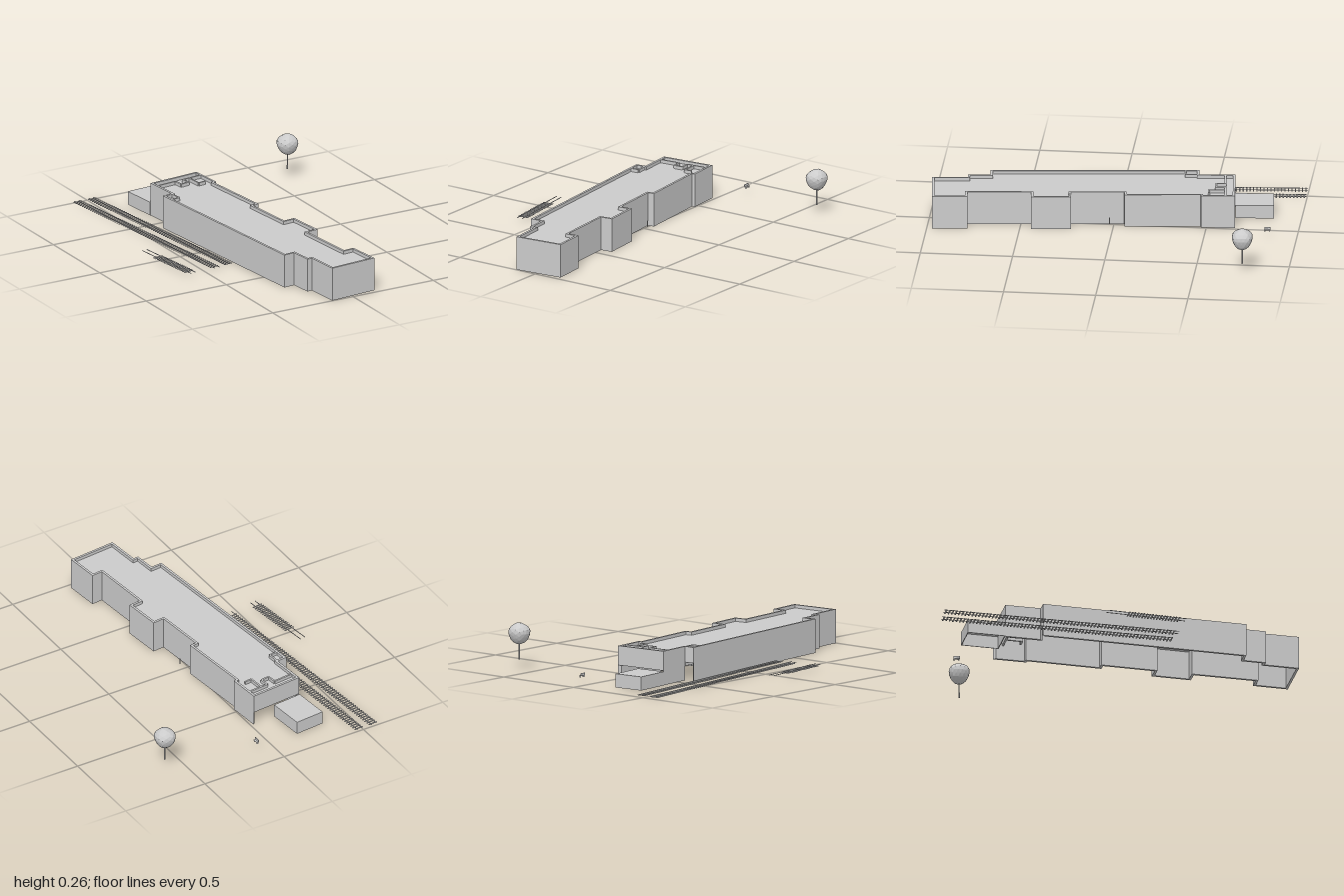
import * as THREE from 'three';

const grey = new THREE.MeshStandardMaterial({ color: 0xcccccc, side: THREE.DoubleSide, flatShading: true });

// Vertical prism over a plan polygon given as [x, z] points
function prism(points, y0, y1, name) {
  const shape = new THREE.Shape(points.map(([x, z]) => new THREE.Vector2(x, -z)));
  const geo = new THREE.ExtrudeGeometry(shape, { depth: y1 - y0, bevelEnabled: false });
  geo.rotateX(-Math.PI / 2).translate(0, y0, 0);
  const mesh = new THREE.Mesh(geo, grey);
  mesh.name = name;
  return mesh;
}

// Plan polygon moved inwards by t, with mitred corners
function inset(points, t) {
  const n = points.length;
  const normal = (i) => {
    const [ax, az] = points[(i + n) % n], [bx, bz] = points[(i + 1) % n];
    const l = Math.hypot(bx - ax, bz - az);
    return [-(bz - az) / l, (bx - ax) / l];
  };
  return points.map(([x, z], i) => {
    const a = normal(i - 1), b = normal(i);
    const k = t / (1 + a[0] * b[0] + a[1] * b[1]);
    return [x + (a[0] + b[0]) * k, z + (a[1] + b[1]) * k];
  });
}

// Closed walls around a plan; baseOf gives the lower edge of each wall
function walls(points, t, top, baseOf, name) {
  const group = new THREE.Group();
  group.name = name;
  const inner = inset(points, t);
  points.forEach((p, i) => {
    const j = (i + 1) % points.length;
    group.add(prism([p, points[j], inner[j], inner[i]], baseOf(i), top, name + 'Panel'));
  });
  return group;
}

// Box bar between two 3D points
function bar(a, b, width, height, name) {
  const from = new THREE.Vector3(...a), to = new THREE.Vector3(...b);
  const mesh = new THREE.Mesh(new THREE.BoxGeometry(width, height, from.distanceTo(to)), grey);
  mesh.position.copy(from).add(to).multiplyScalar(0.5);
  mesh.lookAt(to);
  mesh.name = name;
  return mesh;
}

// Railway track: sleepers spread from a to b, rails running past by 'extra'
function track(a, b, count, sleeperLength, gauge, extra, name) {
  const group = new THREE.Group();
  group.name = name;
  const from = new THREE.Vector3(...a), to = new THREE.Vector3(...b);
  const dir = to.clone().sub(from).normalize();
  const side = new THREE.Vector3(dir.z, 0, -dir.x).normalize();
  for (let i = 0; i < count; i++) {
    const p = from.clone().lerp(to, i / (count - 1));
    const s = side.clone().multiplyScalar(sleeperLength / 2);
    group.add(bar(p.clone().sub(s).toArray(), p.clone().add(s).toArray(), 0.007, 0.003, 'sleeper'));
  }
  for (const k of [-1, 1]) {
    const shift = side.clone().multiplyScalar(k * gauge / 2).add(new THREE.Vector3(0, 0.003, 0));
    const p = from.clone().addScaledVector(dir, -extra[0]).add(shift);
    const q = to.clone().addScaledVector(dir, extra[1]).add(shift);
    group.add(bar(p.toArray(), q.toArray(), 0.003, 0.003, 'rail'));
  }
  return group;
}

function tree() {
  const group = new THREE.Group();
  group.name = 'tree';
  const geo = new THREE.IcosahedronGeometry(0.058, 2);
  const pos = geo.attributes.position, v = new THREE.Vector3();
  for (let i = 0; i < pos.count; i++) {
    v.fromBufferAttribute(pos, i);
    v.multiplyScalar(1 + 0.05 * Math.sin(v.x * 70 + 1) * Math.cos(v.z * 60) + 0.04 * Math.sin(v.y * 80));
    pos.setXYZ(i, v.x, v.y, v.z);
  }
  geo.computeVertexNormals();
  const crown = new THREE.Mesh(geo, grey);
  crown.name = 'crown';
  crown.position.y = 0.198;
  const trunk = new THREE.Mesh(new THREE.CylinderGeometry(0.003, 0.004, 0.11, 8), grey);
  trunk.name = 'trunk';
  trunk.position.y = 0.108;
  group.add(crown, trunk);
  group.position.set(0.605, 0, -0.755);
  return group;
}

function bench() {
  const group = new THREE.Group();
  group.name = 'bench';
  const box = (w, h, d, x, y, z, name) => {
    const m = new THREE.Mesh(new THREE.BoxGeometry(w, h, d), grey);
    m.position.set(x, y, z);
    m.name = name;
    group.add(m);
  };
  box(0.012, 0.003, 0.034, 0, 0, 0, 'benchSeat');
  box(0.003, 0.012, 0.034, -0.006, 0.008, 0, 'benchBack');
  for (const z of [-0.013, 0.013]) box(0.01, 0.009, 0.003, 0, -0.005, z, 'benchLeg');
  group.position.set(0.08, 0.036, -0.84);
  return group;
}

export function createModel() {
  const model = new THREE.Group();
  model.name = 'stationBuilding';
  const top = 0.186, t = 0.013;

  // Main hall plan, from the back wall along the left side to the front and back again
  const plan = [
    [-0.32, -0.628], [-0.018, -0.655], [-0.002, -0.472], [-0.018, -0.468], [0.024, -0.06],
    [-0.012, -0.055], [0.016, 0.23], [0.082, 0.223], [0.104, 0.438], [0.037, 0.446],
    [0.068, 0.786], [0.13, 0.78], [0.149, 0.972], [-0.127, 0.997], [-0.145, 0.806],
    [-0.174, 0.809], [-0.186, 0.687], [-0.25, 0.693], [-0.36, -0.428], [-0.303, -0.434],
  ];
  // Back wall hangs over an open bay; the step on the right side holds a doorway
  const bases = { 0: 0.08, 18: 0.1 };
  model.add(walls(plan, t, top, (i) => bases[i] ?? 0, 'hallWalls'));
  model.add(prism(inset(plan, t * 0.9), 0.16, 0.168, 'hallRoof'));

  // Partition walls that rise through the roof at the back
  const partitions = [
    [[-0.312, -0.575], [-0.19, -0.587]], [[-0.19, -0.587], [-0.184, -0.535]],
    [[-0.184, -0.535], [-0.135, -0.54]], [[-0.135, -0.54], [-0.14, -0.592]],
    [[-0.14, -0.592], [-0.015, -0.603]], [[-0.1, -0.595], [-0.092, -0.505]],
    [[-0.092, -0.505], [-0.05, -0.51]],
    [[-0.303, -0.434], [-0.296, -0.36]], [[-0.296, -0.36], [-0.35, -0.355]],
  ];
  const core = new THREE.Group();
  core.name = 'partitions';
  const mid = (0.08 + top) / 2;
  for (const [a, b] of partitions) {
    core.add(bar([a[0], mid, a[1]], [b[0], mid, b[1]], 0.01, top - 0.08, 'partition'));
  }
  model.add(core);

  // Low annex behind the open bay
  const annex = [[-0.342, -0.835], [-0.172, -0.85], [-0.153, -0.643], [-0.323, -0.628]];
  model.add(walls(annex, 0.004, 0.074, () => 0, 'annexWalls'));
  model.add(prism(annex, 0.07, 0.075, 'annexRoof'));

  // Tracks on the right side
  model.add(track([-0.567, 0.009, -0.985], [-0.445, 0.02, 0.27], 68, 0.052, 0.03, [0.012, 0.03], 'outerTrack'));
  model.add(track([-0.478, 0.009, -0.985], [-0.357, 0.02, 0.27], 68, 0.052, 0.03, [0.012, 0.0], 'innerTrack'));
  model.add(track([-0.637, 0.024, 0.0], [-0.604, 0.024, 0.275], 18, 0.06, 0.03, [0.12, 0.04], 'sidingTrack'));

  // Small things around the hall
  model.add(tree(), bench());
  model.add(bar([0.038, 0.022, 0.02], [0.038, 0.055, 0.0201], 0.004, 0.004, 'post'));
  return model;
}
